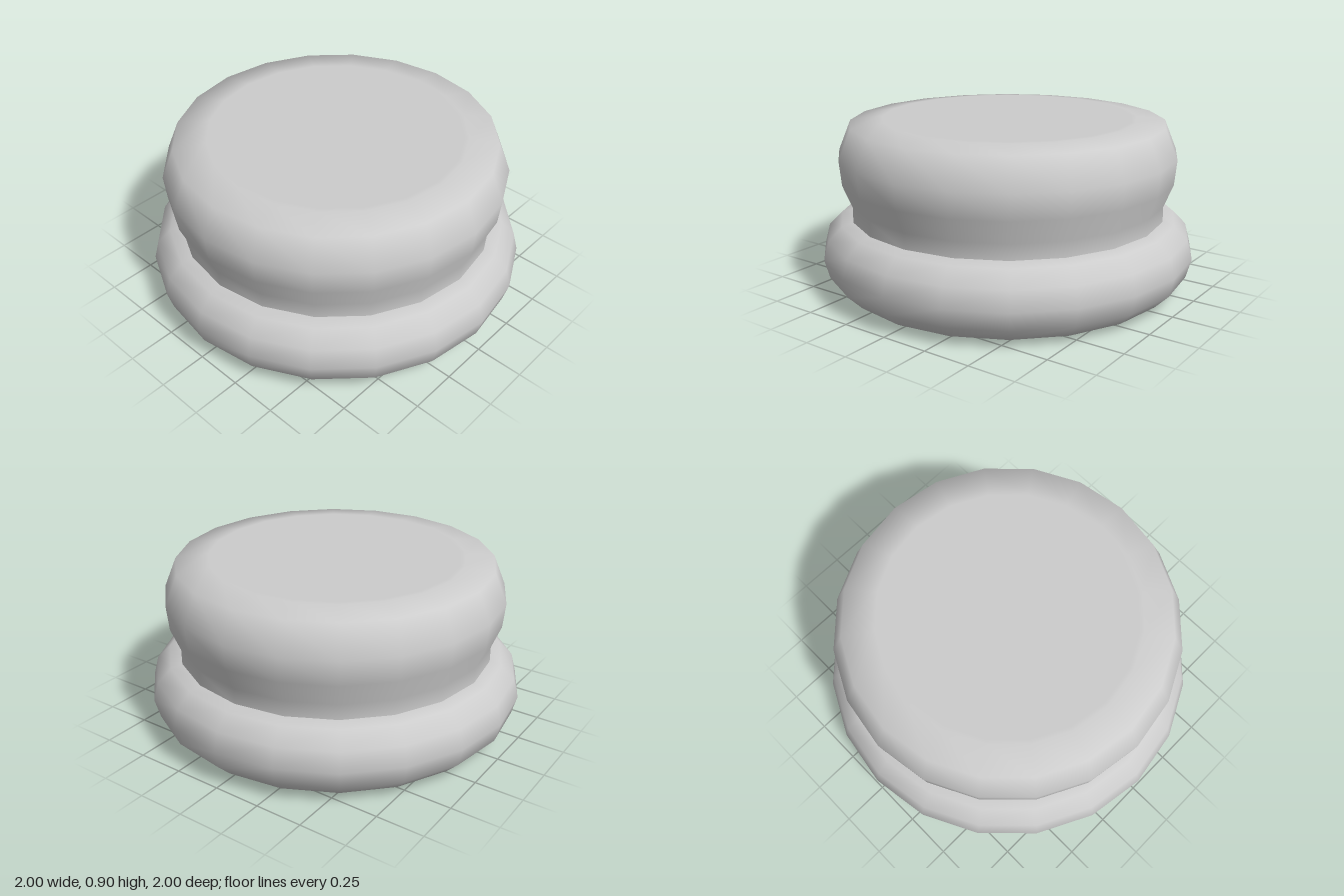
import * as THREE from 'three';

const SIDES = 20;

export function createModel() {
  const model = new THREE.Group();
  const grey = new THREE.MeshStandardMaterial({ color: 0xcccccc });
  grey.name = 'lightGrey';

  const add = (name, geometry) => {
    const mesh = new THREE.Mesh(geometry, grey);
    mesh.name = name;
    model.add(mesh);
    return mesh;
  };

  // Rounded ring the cap stands on, open in the middle
  add('baseRing', new THREE.TorusGeometry(0.8, 0.2, 12, SIDES).rotateX(Math.PI / 2).translate(0, 0.2, 0));

  // Bulging cap: narrow waist, wide shoulder, flat top
  const profile = [
    [0.84, 0.385], [0.84, 0.47], [0.888, 0.59], [0.9, 0.72],
    [0.835, 0.878], [0.68, 0.899], [0.66, 0.9], [0, 0.9],
  ].map(([r, y]) => new THREE.Vector2(r, y));
  add('cap', new THREE.LatheGeometry(profile, SIDES));

  // Flat underside of the cap, seen through the ring
  add('capUnderside', new THREE.CircleGeometry(0.84, SIDES).rotateX(Math.PI / 2).translate(0, 0.385, 0));

  return model;
}
